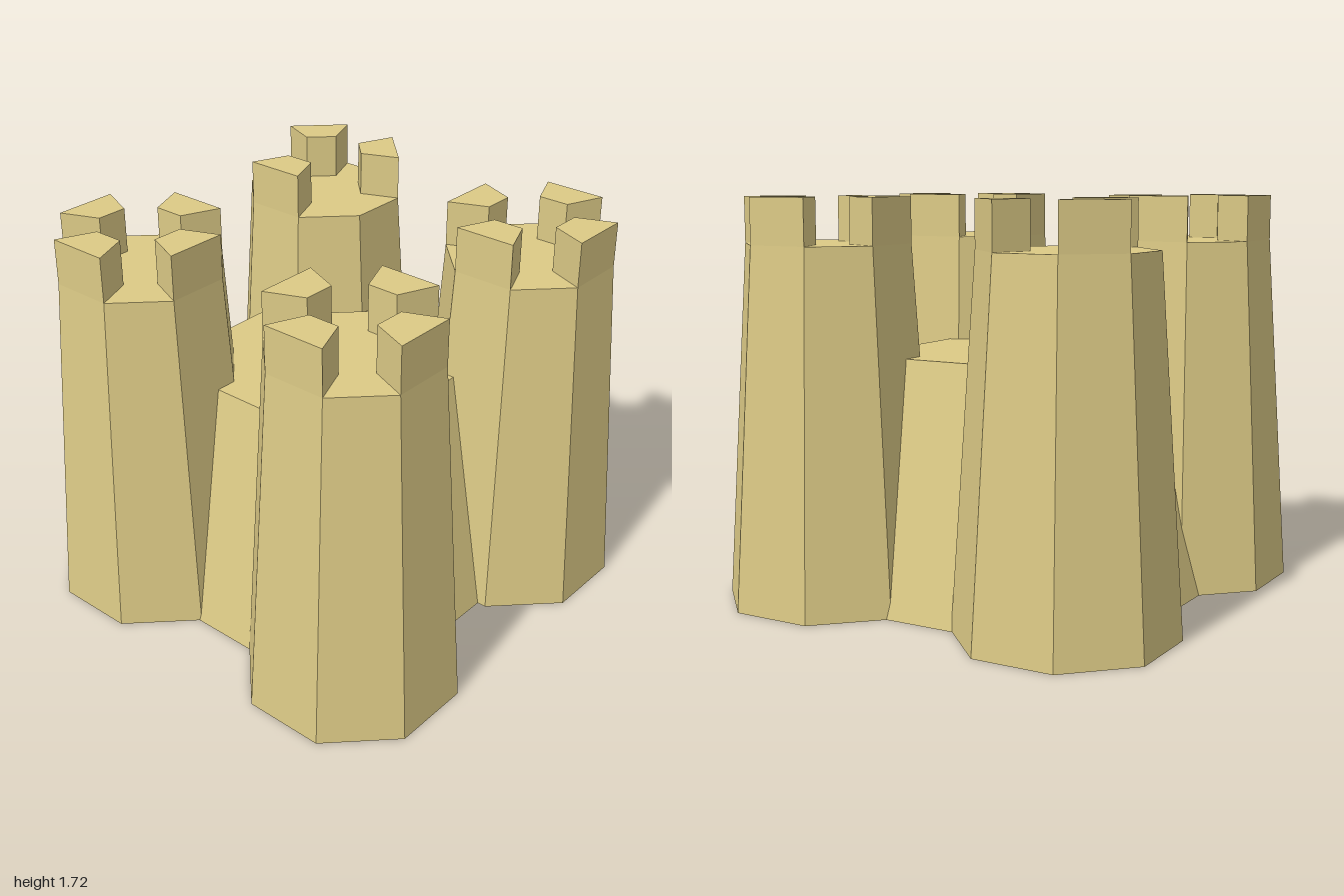
import * as THREE from 'three';

const sand = new THREE.MeshStandardMaterial({ color: 0xdcca86 });
sand.name = 'sand';

const TOWER_H = 1.525, TOP_H = 1.72;
const BASE_APOTHEM = 0.427, TOP_APOTHEM = 0.332;
const HALF_ANGLE = Math.PI / 8;

function addMesh(parent, name, geometry) {
  const flat = geometry.index ? geometry.toNonIndexed() : geometry;
  flat.computeVertexNormals(); // hard facets
  const mesh = new THREE.Mesh(flat, sand);
  mesh.name = name;
  parent.add(mesh);
  return mesh;
}

// Wedge-shaped battlement on one side of the octagonal top, facing +z at angle 0
function merlonGeometry() {
  const outer = TOP_APOTHEM, inner = TOP_APOTHEM / 2, t = Math.tan(HALF_ANGLE);
  const shape = new THREE.Shape([
    new THREE.Vector2(-inner * t, -inner),
    new THREE.Vector2(-outer * t, -outer),
    new THREE.Vector2(outer * t, -outer),
    new THREE.Vector2(inner * t, -inner),
  ]);
  const g = new THREE.ExtrudeGeometry(shape, { depth: TOP_H - TOWER_H, bevelEnabled: false });
  return g.rotateX(-Math.PI / 2).translate(0, TOWER_H, 0);
}

// Tapered octagonal tower with battlements on the given sides (eighth turns)
function tower(name, x, z, sides) {
  const group = new THREE.Group();
  group.name = name;
  const k = 1 / Math.cos(HALF_ANGLE);
  const body = new THREE.CylinderGeometry(TOP_APOTHEM * k, BASE_APOTHEM * k, TOWER_H, 8, 1, false, HALF_ANGLE);
  addMesh(group, 'towerBody', body.translate(0, TOWER_H / 2, 0));
  for (const side of sides) {
    addMesh(group, 'merlon', merlonGeometry()).rotation.y = side * Math.PI / 4;
  }
  group.position.set(x, 0, z);
  return group;
}

export function createModel() {
  const castle = new THREE.Group();
  castle.name = 'sandCastle';

  // Central keep: a block tapering towards its flat top
  const keep = new THREE.CylinderGeometry(0.522 * Math.SQRT2, 0.76 * Math.SQRT2, 1.05, 4, 1, false, Math.PI / 4);
  addMesh(castle, 'keep', keep.translate(-0.05, 0.525, -0.004));

  // Corner towers; the back one at -x has three battlements set differently
  const c = 0.573;
  castle.add(
    tower('frontLeftTower', c, c, [0, 2, 4, 6]),
    tower('frontRightTower', -c, c, [0, 2, 4, 6]),
    tower('backLeftTower', c, -c, [0, 2, 4, 6]),
    tower('backRightTower', -c, -c, [0, 3, 5]),
  );
  return castle;
}
